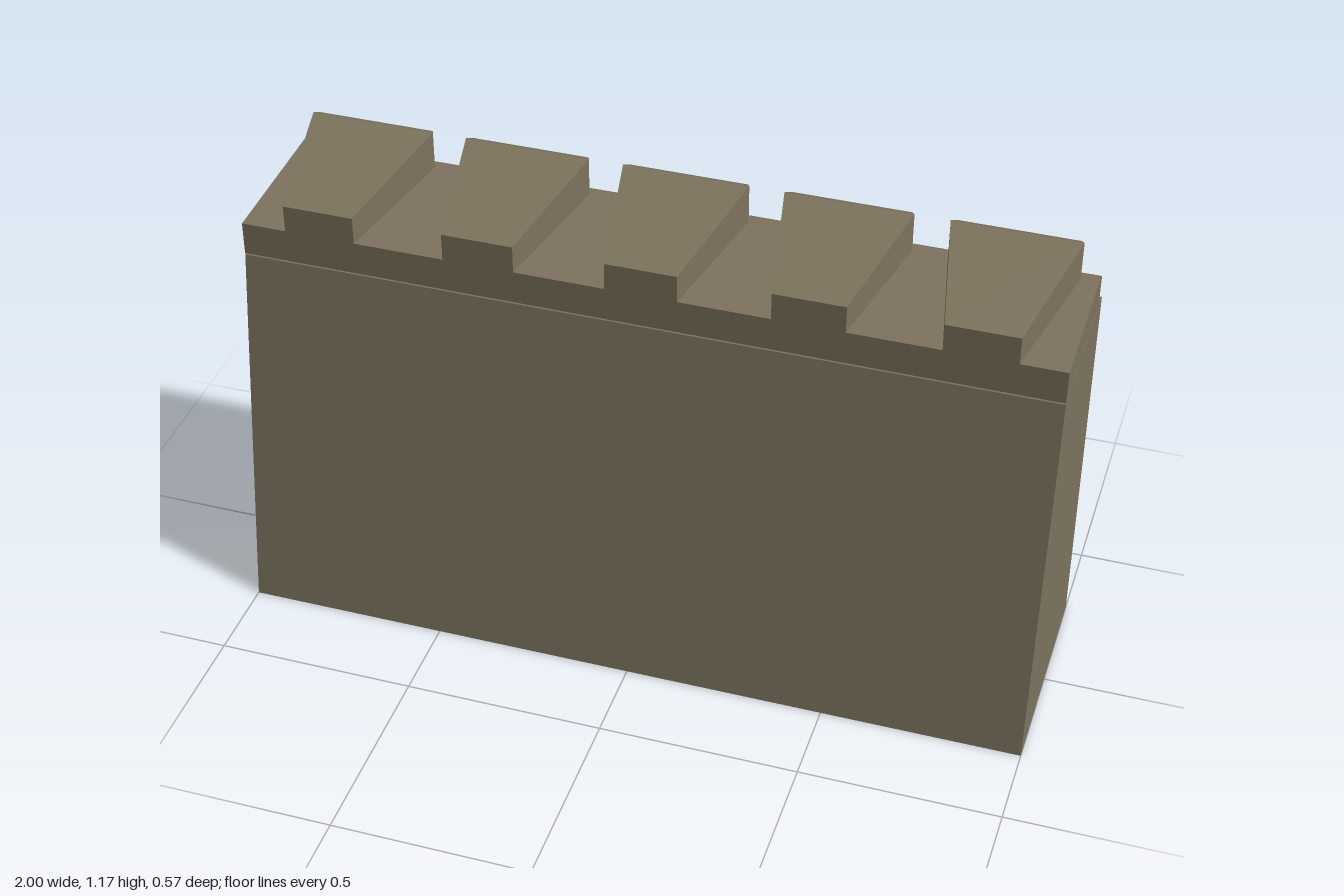
import * as THREE from 'three';

const stone = new THREE.MeshStandardMaterial({ color: 0x7d735e, flatShading: true });
const shell = stone.clone();
shell.side = THREE.DoubleSide;

// Skin a row of four-cornered rings; each ring turns counter-clockwise about the direction of travel
function loft(rings, capStart = true) {
  const pos = [];
  const quad = (a, b, c, d) => pos.push(...a, ...b, ...c, ...a, ...c, ...d);
  for (let r = 0; r < rings.length - 1; r++) {
    for (let i = 0; i < 4; i++) {
      const j = (i + 1) % 4;
      quad(rings[r][i], rings[r][j], rings[r + 1][j], rings[r + 1][i]);
    }
  }
  quad(...rings[rings.length - 1]);
  if (capStart) quad(...[...rings[0]].reverse());
  const geo = new THREE.BufferGeometry();
  geo.setAttribute('position', new THREE.Float32BufferAttribute(pos, 3));
  geo.computeVertexNormals();
  return geo;
}

// Horizontal ring at height y
const level = (y, front, back) => [[-1, y, front], [1, y, front], [1, y, back], [-1, y, back]];
// Upright ring at depth z
const upright = (z, w, y0, y1) => [[w, y0, z], [-w, y0, z], [-w, y1, z], [w, y1, z]];

function add(parent, name, geo, mat) {
  const mesh = new THREE.Mesh(geo, mat);
  mesh.name = name;
  parent.add(mesh);
  return mesh;
}

export function createModel() {
  const group = new THREE.Group();
  group.name = 'battlementWall';

  // Hollow wall with a sloping front, open underneath
  add(group, 'wall', loft([level(0, 0.285, -0.285), level(0.971, 0.158, -0.285)], false), shell);

  // Coping slab, rising gently to a bevelled back edge
  add(group, 'coping', loft([
    upright(0.158, 1, 0.975, 1.06),
    upright(-0.218, 1, 0.975, 1.072),
    upright(-0.24, 1, 0.975, 1.06),
  ]), stone);

  // Wedge-shaped merlons, narrow in front and wide behind, with bevelled back edges
  const wedge = loft([
    upright(0.158, 0.088, 1.05, 1.13),
    upright(-0.196, 0.157, 1.05, 1.172),
    upright(-0.22, 0.147, 1.05, 1.16),
  ]);
  for (let i = 0; i < 5; i++) {
    add(group, `merlon${i + 1}`, wedge, stone).position.x = (i - 2) * 0.4;
  }
  return group;
}
